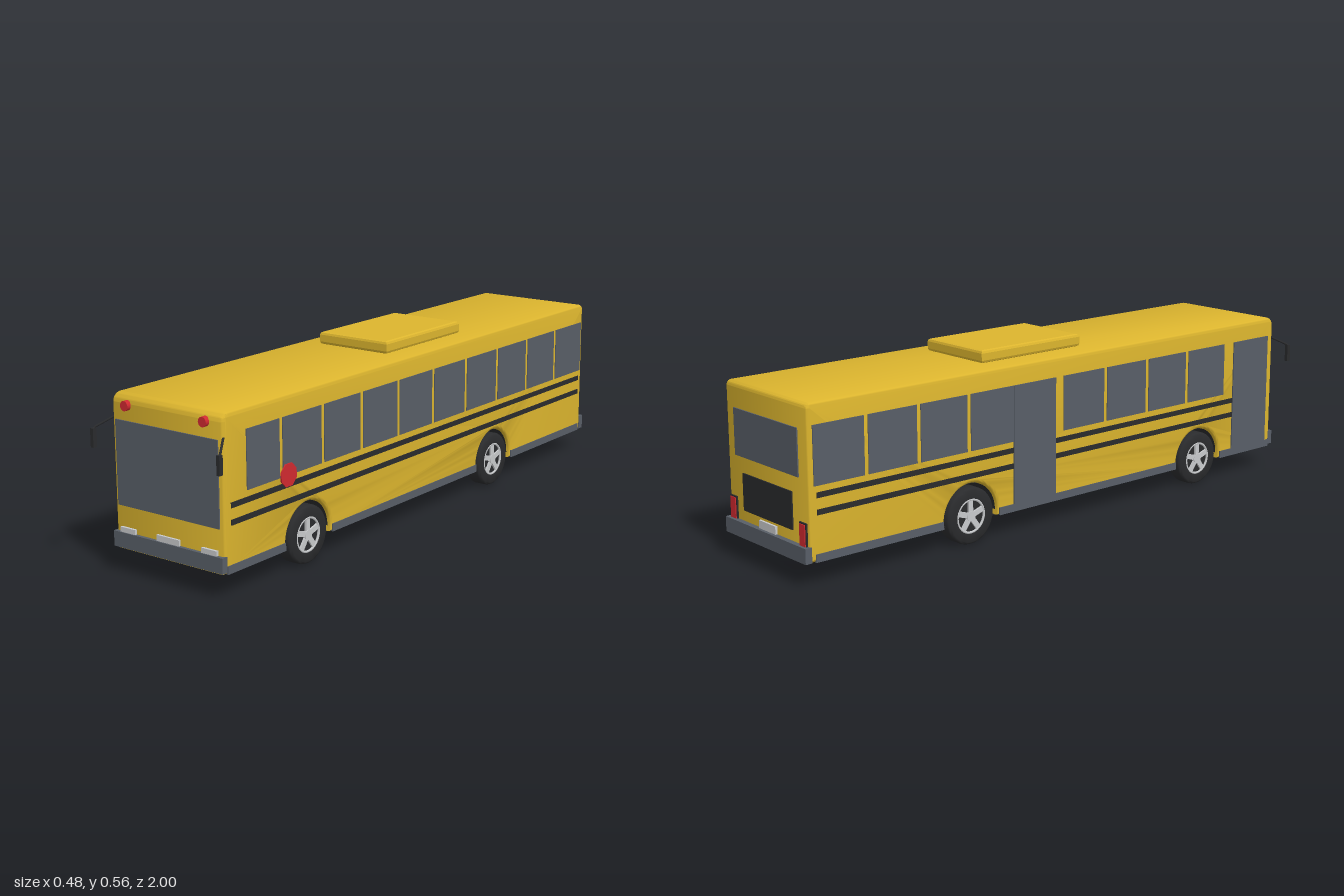
import * as THREE from 'three';
import { toCreasedNormals } from 'three/addons/utils/BufferGeometryUtils.js';

const material = (name, color, side = THREE.FrontSide) => {
  const m = new THREE.MeshStandardMaterial({ color, side });
  m.name = name;
  return m;
};

export function createModel() {
  const yellow = material('bus yellow', 0xdcb52e);
  const slate = material('slate glass', 0x585e67);
  const black = material('black rubber', 0x2a2b2d, THREE.DoubleSide);
  const red = material('signal red', 0xd02a30);
  const silver = material('silver', 0xc8cacc);

  const bus = new THREE.Group();
  bus.name = 'bus';

  const add = (name, geometry, mat, x = 0, y = 0, z = 0, parent = bus) => {
    const mesh = new THREE.Mesh(geometry, mat);
    mesh.name = name;
    mesh.position.set(x, y, z);
    parent.add(mesh);
    return mesh;
  };
  const box = (name, mat, w, h, d, x, y, z, parent) =>
    add(name, new THREE.BoxGeometry(w, h, d), mat, x, y, z, parent);
  // Thin panel on a side wall, given by its z and y limits
  const sidePanel = (name, mat, side, z0, z1, y0, y1, x = 0.204) =>
    box(name, mat, 0.007, y1 - y0, Math.abs(z1 - z0), side * x, (y0 + y1) / 2, (z0 + z1) / 2);

  const axles = [-0.405, 0.58];
  const wheelY = 0.088, archR = 0.102;
  const back = -0.982, front = 0.945, floor = 0.07, roof = 0.525;

  // Body: side profile with wheel arches, extruded across the width
  const profile = new THREE.Shape();
  profile.moveTo(back, floor);
  for (const z of axles) {
    profile.lineTo(z - archR, floor);
    profile.absarc(z, wheelY, archR, Math.PI, 0, true);
    profile.lineTo(z + archR, floor);
  }
  profile.lineTo(front, floor);
  profile.absarc(front - 0.028, roof - 0.028, 0.028, 0, Math.PI / 2, false);
  profile.absarc(back + 0.016, roof - 0.016, 0.016, Math.PI / 2, Math.PI, false);
  const bevel = 0.012, width = 0.41;
  const bodyGeo = new THREE.ExtrudeGeometry(profile, {
    depth: width - 2 * bevel, curveSegments: 14, bevelEnabled: true,
    bevelThickness: bevel, bevelSize: bevel, bevelOffset: -bevel, bevelSegments: 4,
  });
  bodyGeo.translate(0, 0, -(width - 2 * bevel) / 2);
  bodyGeo.rotateY(-Math.PI / 2);
  add('body', toCreasedNormals(bodyGeo, 0.6), yellow);

  // Underfloor
  box('underfloor', black, 0.37, 0.004, 1.5, 0, floor - 0.001, 0.11);

  // Roof unit with chamfered edges
  const unit = new THREE.Shape();
  unit.moveTo(-0.13, -0.2).lineTo(0.13, -0.2).lineTo(0.13, 0.2).lineTo(-0.13, 0.2);
  const unitGeo = new THREE.ExtrudeGeometry(unit, {
    depth: 0.022, bevelEnabled: true, bevelThickness: 0.009, bevelSize: 0.009,
    bevelOffset: -0.009, bevelSegments: 2,
  });
  unitGeo.rotateX(-Math.PI / 2);
  add('roofUnit', unitGeo, yellow, 0, 0.534, -0.1);

  // Side windows, in evenly spaced bays
  const posts = [-0.972, -0.786, -0.6, -0.414, -0.228, -0.043, 0.143, 0.329, 0.515, 0.703, 0.857];
  for (const side of [1, -1]) {
    for (let i = 0; i < posts.length - 1; i++) {
      if (side < 0 && (i === 4 || i === 9)) continue; // door bays
      sidePanel('sideWindow', slate, side, posts[i] + 0.007, posts[i + 1] - 0.007, 0.29, 0.463);
    }
  }

  // Doors on the right side
  const doors = [[-0.24, -0.07], [0.743, 0.915]];
  for (const [z0, z1] of doors) sidePanel('door', slate, -1, z0, z1, 0.08, 0.463, 0.2052);

  // Stripes and lower trim
  const skirtEnds = [-0.965, -0.405 - 0.108, -0.405 + 0.108, 0.58 - 0.108, 0.58 + 0.108, 0.935];
  for (const side of [1, -1]) {
    sidePanel('upperStripe', black, side, -0.957, 0.917, 0.255, 0.271);
    sidePanel('lowerStripe', black, side, -0.957, 0.917, 0.206, 0.222);
    for (let i = 0; i < 6; i += 2)
      sidePanel('skirtTrim', slate, side, skirtEnds[i], skirtEnds[i + 1], 0.07, 0.094);
  }

  // Front end
  box('windshield', slate, 0.38, 0.25, 0.006, 0, 0.325, front + 0.001);
  box('frontBumper', slate, 0.41, 0.046, 0.02, 0, 0.099, front + 0.001);
  box('frontPlate', silver, 0.084, 0.018, 0.008, 0, 0.131, front + 0.003);
  for (const side of [1, -1]) {
    box('headlight', silver, 0.056, 0.016, 0.016, side * 0.153, 0.129, front);
    const lamp = new THREE.CylinderGeometry(0.0145, 0.0145, 0.02, 20);
    lamp.rotateX(Math.PI / 2);
    add('warningLamp', lamp, red, side * 0.145, 0.495, front + 0.003);
  }

  // Rear end
  box('rearWindow', slate, 0.32, 0.14, 0.006, 0, 0.38, back - 0.001);
  box('rearGrille', black, 0.25, 0.112, 0.006, 0, 0.206, back - 0.001);
  box('rearBumper', slate, 0.41, 0.046, 0.022, 0, 0.094, back - 0.006);
  box('rearPlate', silver, 0.084, 0.024, 0.008, 0, 0.129, back - 0.003);
  for (const side of [1, -1]) {
    box('tailLightFrame', black, 0.034, 0.078, 0.008, side * 0.177, 0.145, back - 0.001);
    box('tailLight', red, 0.026, 0.07, 0.012, side * 0.177, 0.145, back - 0.002);
  }

  // Mirrors on angled arms
  for (const side of [1, -1]) {
    const mirror = new THREE.Group();
    mirror.name = 'mirror';
    const arm = new THREE.LineCurve3(
      new THREE.Vector3(side * 0.2, 0.457, 0.935), new THREE.Vector3(side * 0.234, 0.428, 0.987));
    add('mirrorArm', new THREE.TubeGeometry(arm, 1, 0.0035, 8), black, 0, 0, 0, mirror);
    box('mirrorHead', black, 0.011, 0.056, 0.014, side * 0.2345, 0.398, 0.991, mirror);
    bus.add(mirror);
  }

  // Octagonal stop paddle on the left side
  const paddle = new THREE.CylinderGeometry(0.036, 0.036, 0.004, 8);
  paddle.rotateY(Math.PI / 8);
  paddle.rotateZ(Math.PI / 2);
  add('stopPaddle', paddle, red, 0.211, 0.293, 0.677);
  box('paddleBracket', black, 0.008, 0.012, 0.03, 0.206, 0.293, 0.677);

  // Wheels: tyre, recessed dish, rim ring, spokes and hub
  const tyreProfile = [
    [0.054, 0.026], [0.08, 0.027], [0.086, 0.023], [0.088, 0.018],
    [0.088, -0.018], [0.086, -0.023], [0.08, -0.027], [0.0, -0.027],
  ].map(([r, h]) => new THREE.Vector2(r, h)).reverse();
  const tyreGeo = toCreasedNormals(new THREE.LatheGeometry(tyreProfile, 32), 0.7);
  tyreGeo.rotateZ(-Math.PI / 2);
  const makeWheel = () => {
    const wheel = new THREE.Group();
    wheel.name = 'wheel';
    add('tyre', tyreGeo, black, 0, 0, 0, wheel);
    const dish = new THREE.CylinderGeometry(0.055, 0.055, 0.03, 28);
    dish.rotateZ(Math.PI / 2);
    add('rimDish', dish, black, 0.004, 0, 0, wheel);
    const ring = new THREE.TorusGeometry(0.051, 0.004, 6, 28);
    ring.rotateY(Math.PI / 2);
    add('rimRing', ring, silver, 0.023, 0, 0, wheel);
    for (let i = 0; i < 5; i++) {
      const spoke = new THREE.BoxGeometry(0.008, 0.038, 0.017);
      spoke.translate(0, 0.03, 0);
      add('spoke', spoke, silver, 0.021, 0, 0, wheel).rotation.x = i * Math.PI * 2 / 5;
    }
    const hub = new THREE.CylinderGeometry(0.016, 0.016, 0.012, 16);
    hub.rotateZ(Math.PI / 2);
    add('hub', hub, silver, 0.021, 0, 0, wheel);
    return wheel;
  };
  for (const z of axles) {
    for (const side of [1, -1]) {
      const wheel = makeWheel();
      wheel.position.set(side * 0.176, wheelY, z);
      if (side < 0) wheel.rotation.y = Math.PI;
      bus.add(wheel);
    }
    // Dark lining of the wheel arch
    const liner = new THREE.CylinderGeometry(0.1, 0.1, 0.386, 24, 1, true, 0, Math.PI);
    liner.rotateZ(Math.PI / 2);
    add('archLiner', liner, black, 0, wheelY, z);
  }
  return bus;
}
